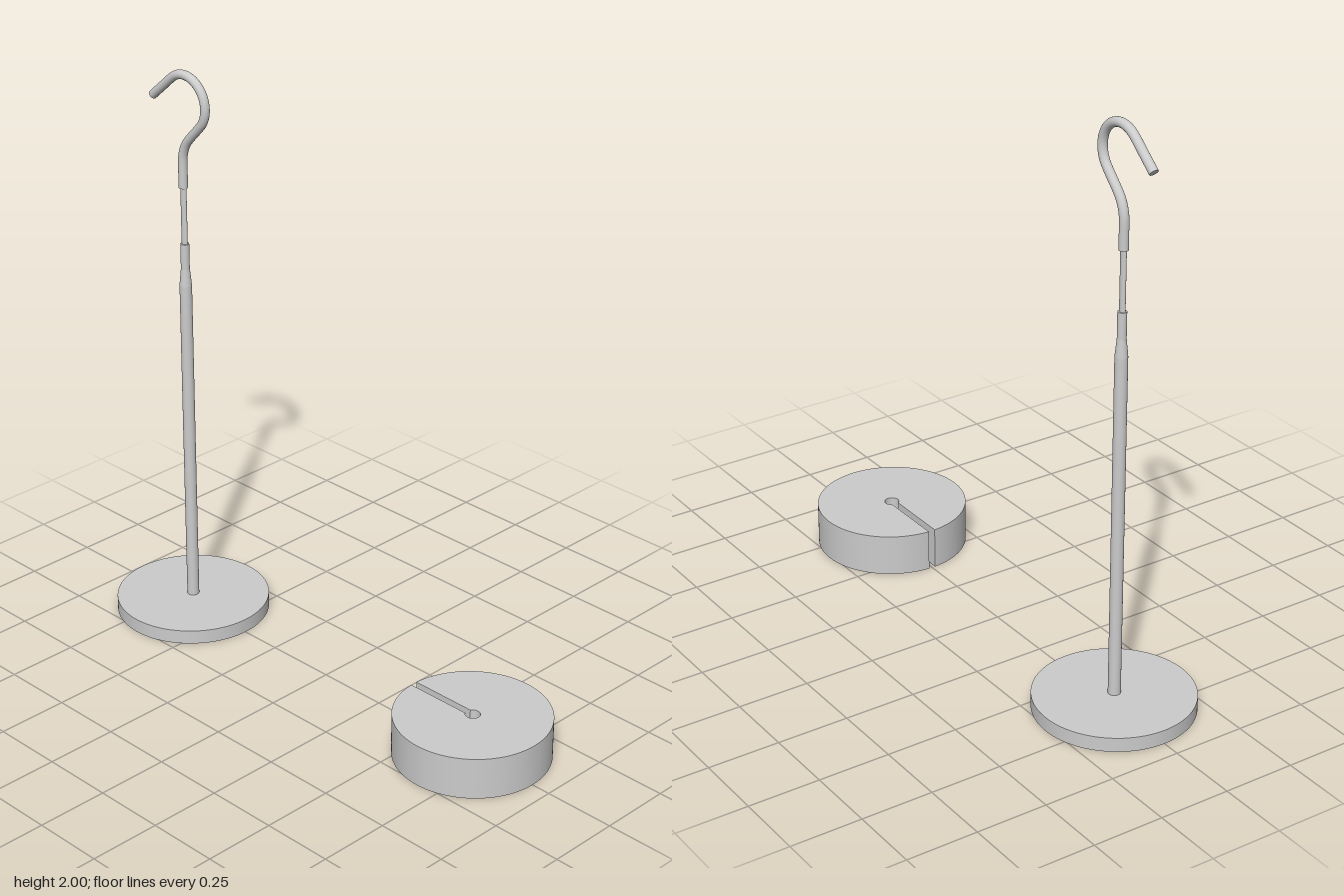
import * as THREE from 'three';

const STEM_X = -0.667;
const WEIGHT_X = 0.67;

export function createModel() {
  const model = new THREE.Group();
  const grey = new THREE.MeshStandardMaterial({ color: 0xcccccc });

  function add(parent, name, geometry, x = 0, y = 0) {
    const mesh = new THREE.Mesh(geometry, grey);
    mesh.name = name;
    mesh.position.set(x, y, 0);
    parent.add(mesh);
    return mesh;
  }

  const hanger = new THREE.Group();
  hanger.name = 'hanger';
  hanger.position.x = STEM_X;
  model.add(hanger);

  // Round base plate
  add(hanger, 'basePlate', new THREE.CylinderGeometry(0.268, 0.268, 0.05, 96), 0, 0.025);

  // Rod with a tapered shoulder
  const rodProfile = [[0, 0.05], [0.021, 0.05], [0.021, 1.24], [0.015, 1.3], [0.015, 1.39], [0, 1.39]];
  const rod = new THREE.CylinderGeometry(0.021, 0.021, 1.19, 32);
  add(hanger, 'rod', rod, 0, 0.645);
  rodProfile.slice(2, -2).forEach(([r, y], i) => {
    const [r2, y2] = rodProfile[i + 3];
    add(hanger, i ? 'upperRod' : 'shoulder', new THREE.CylinderGeometry(r2, r, y2 - y, 32), 0, (y + y2) / 2);
  });
  add(hanger, 'upperRod', new THREE.CylinderGeometry(0.015, 0.015, 0.09, 32), 0, 1.345);

  // Slim, slightly flattened neck
  const neck = add(hanger, 'neck', new THREE.CylinderGeometry(0.012, 0.012, 0.21, 32), 0, 1.49);
  neck.scale.z = 0.7;

  // Hook centreline: straight shank, reverse bend, round crook, straight tip
  const pt = (x, y) => new THREE.Vector3(x, y, 0);
  const points = [pt(0, 1.59), pt(0, 1.635)];
  function arc(cx, cy, r, from, to, steps) {
    for (let i = 0; i <= steps; i++) {
      const a = THREE.MathUtils.degToRad(from + (to - from) * i / steps);
      points.push(pt(cx + r * Math.cos(a), cy + r * Math.sin(a)));
    }
  }
  arc(0.13, 1.68, 0.13, 180, 135, 5);
  arc(0.019, 1.89, 0.095, -45, 130, 14);
  const tip = pt(-0.138, 1.88);
  points.push(points[points.length - 1].clone().lerp(tip, 0.5), tip);
  const path = new THREE.CatmullRomCurve3(points, false, 'centripetal');
  const hookRadius = 0.0155;
  add(hanger, 'hook', new THREE.TubeGeometry(path, 120, hookRadius, 24));

  // Flat ends of the hook wire
  for (const t of [0, 1]) {
    const cap = add(hanger, 'hookEnd', new THREE.CircleGeometry(hookRadius, 24));
    cap.position.copy(path.getPoint(t));
    const outward = path.getTangent(t).multiplyScalar(t ? 1 : -1);
    cap.quaternion.setFromUnitVectors(new THREE.Vector3(0, 0, 1), outward);
  }

  // Slotted weight: a disc outline running into the slot and round the hole
  const R = 0.262, hole = 0.025, half = 0.012;
  const outer = Math.asin(half / R), inner = Math.asin(half / hole);
  const outline = new THREE.Shape();
  outline.absarc(0, 0, R, -Math.PI + outer, Math.PI - outer, false);
  outline.absarc(0, 0, hole, Math.PI - inner, -Math.PI + inner, true);
  outline.closePath();
  const disc = new THREE.ExtrudeGeometry(outline, { depth: 0.147, bevelEnabled: false, curveSegments: 96 });
  disc.rotateX(-Math.PI / 2);
  add(model, 'slottedWeight', disc, WEIGHT_X);

  return model;
}
